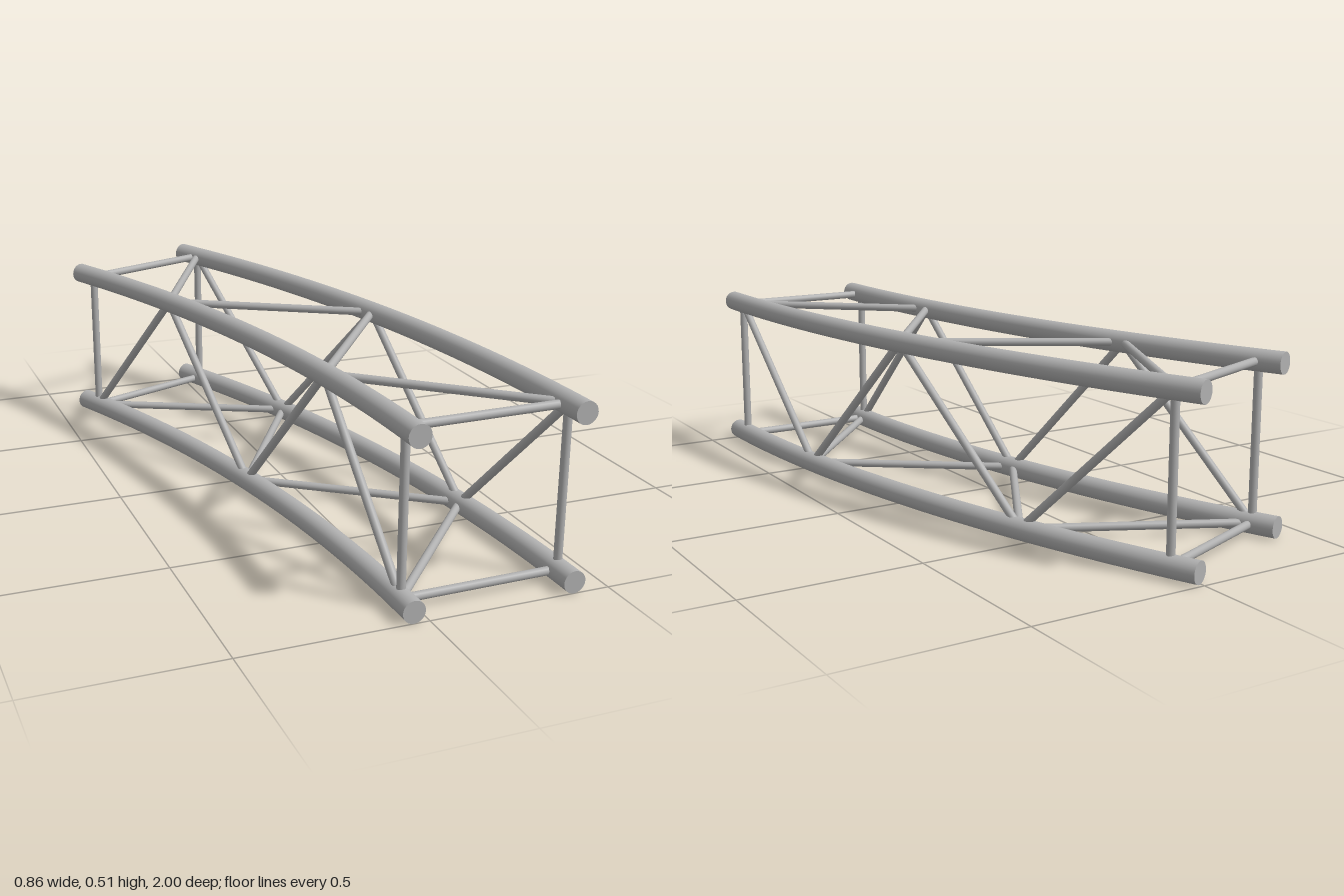
import * as THREE from 'three';

const ARC = Math.PI / 8;               // the truss bends through 22.5 degrees
const CENTRE_X = -4.7955, START_Z = 1; // centre of the bend
const INNER = 4.753, OUTER = 5.196;    // bend radii of the chords
const LOW = 0.0305, HIGH = 0.477;      // chord heights
const CHORD_R = 0.0305, BRACE_R = 0.0117;

// Five panel points along the bend
const nodes = [0, 1, 2, 3, 4].map(i => THREE.MathUtils.degToRad(0.9 + 5.175 * i));

function pointAt(radius, y, angle) {
  return new THREE.Vector3(CENTRE_X + radius * Math.cos(angle), y, START_Z - radius * Math.sin(angle));
}

export function createModel() {
  const steel = new THREE.MeshStandardMaterial({ color: 0xb0b0b0 });
  steel.name = 'steel grey';
  const model = new THREE.Group();
  model.name = 'curvedTruss';

  function add(parent, name, geometry) {
    const mesh = new THREE.Mesh(geometry, steel);
    mesh.name = name;
    parent.add(mesh);
    return mesh;
  }

  // Curved main tube with flat end caps
  function chord(name, radius, y) {
    const group = new THREE.Group();
    group.name = name;
    const tube = add(group, 'tube', new THREE.TorusGeometry(radius, CHORD_R, 24, 40, ARC).rotateX(-Math.PI / 2));
    tube.position.set(CENTRE_X, y, START_Z);
    const disc = new THREE.CircleGeometry(CHORD_R, 24);
    add(group, 'frontCap', disc).position.copy(pointAt(radius, y, 0));
    const back = add(group, 'backCap', disc);
    back.position.copy(pointAt(radius, y, ARC));
    back.rotation.y = Math.PI + ARC;
    model.add(group);
  }

  // Straight thin rod between two points
  function brace(name, a, b) {
    const dir = b.clone().sub(a);
    const rod = add(model, name, new THREE.CylinderGeometry(BRACE_R, BRACE_R, dir.length(), 16, 1, true));
    rod.position.copy(a).add(b).multiplyScalar(0.5);
    rod.quaternion.setFromUnitVectors(new THREE.Vector3(0, 1, 0), dir.normalize());
  }

  // Zigzag that swaps between two chords at each panel point
  function zigzag(name, first, second) {
    for (let i = 0; i < 4; i++) {
      const [from, to] = i % 2 ? [second, first] : [first, second];
      brace(name, pointAt(...from, nodes[i]), pointAt(...to, nodes[i + 1]));
    }
  }

  const lowIn = [INNER, LOW], lowOut = [OUTER, LOW];
  const highIn = [INNER, HIGH], highOut = [OUTER, HIGH];

  chord('lowerInnerChord', ...lowIn);
  chord('lowerOuterChord', ...lowOut);
  chord('upperInnerChord', ...highIn);
  chord('upperOuterChord', ...highOut);

  // Square frame of ties near each end
  for (const [end, angle] of [['front', nodes[0]], ['back', nodes[4]]]) {
    brace(end + 'InnerPost', pointAt(...lowIn, angle), pointAt(...highIn, angle));
    brace(end + 'OuterPost', pointAt(...lowOut, angle), pointAt(...highOut, angle));
    brace(end + 'LowerTie', pointAt(...lowIn, angle), pointAt(...lowOut, angle));
    brace(end + 'UpperTie', pointAt(...highIn, angle), pointAt(...highOut, angle));
  }

  // Diagonals on the four faces
  zigzag('innerDiagonal', lowIn, highIn);
  zigzag('outerDiagonal', highOut, lowOut);
  zigzag('upperDiagonal', highOut, highIn);
  zigzag('lowerDiagonal', lowIn, lowOut);

  return model;
}
